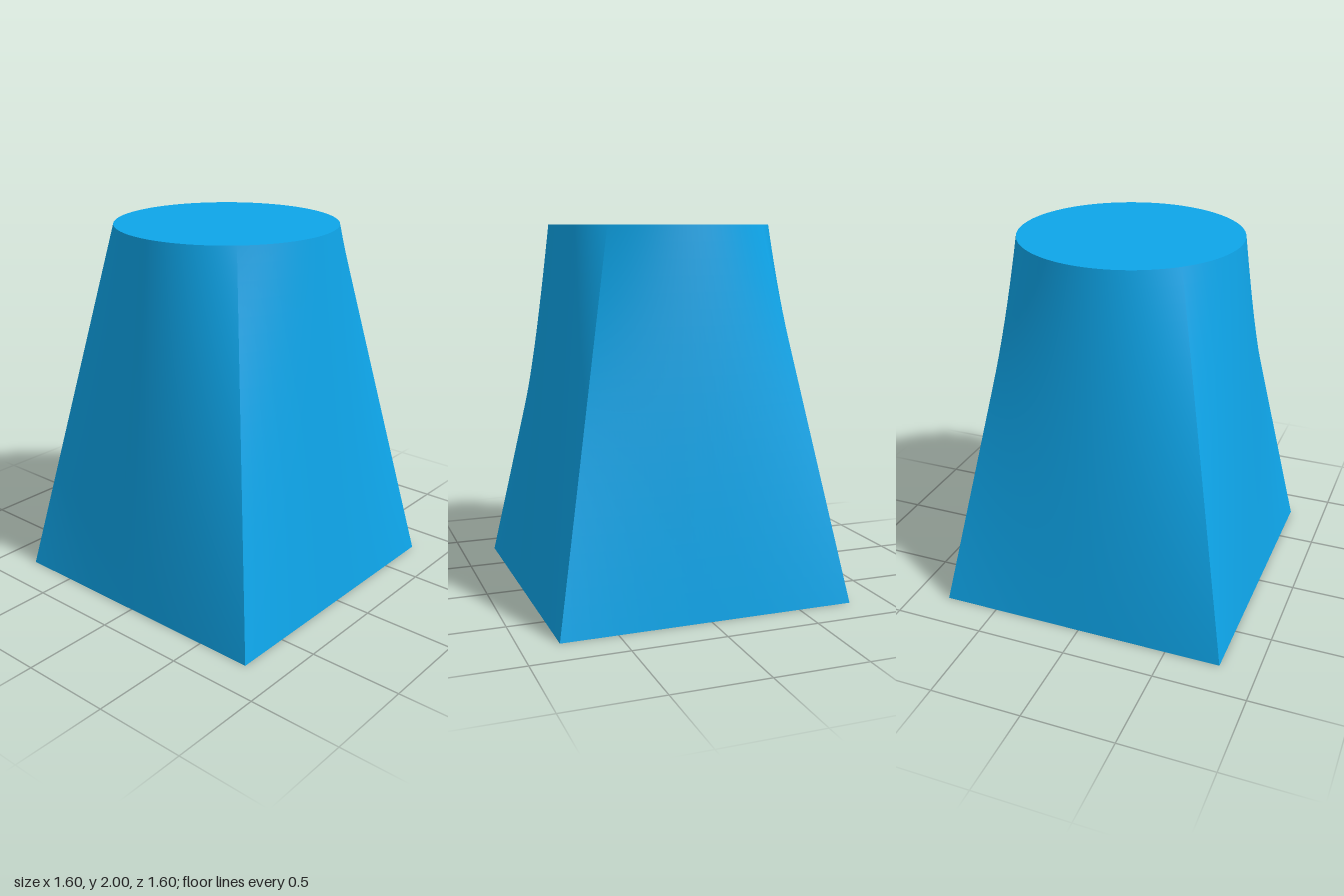
import * as THREE from 'three';
import { ParametricGeometry } from 'three/addons/geometries/ParametricGeometry.js';

const HALF_BASE = 0.8, TOP_RADIUS = 0.6, HEIGHT = 2, SIDE_STEPS = 48;

// One ruled wall: a straight base edge (v = 0) blending to a quarter arc (v = 1)
function wallPoint(u, v, target) {
  const angle = (u - 0.5) * Math.PI / 2;
  target.set(
    THREE.MathUtils.lerp((2 * u - 1) * HALF_BASE, TOP_RADIUS * Math.sin(angle), v),
    HEIGHT * v,
    THREE.MathUtils.lerp(HALF_BASE, TOP_RADIUS * Math.cos(angle), v)
  );
}

export function createModel() {
  const model = new THREE.Group();
  model.name = 'squareToRoundLoft';
  const material = new THREE.MeshStandardMaterial({ color: 0x0ea5e9 });

  const add = (name, geometry) => {
    const mesh = new THREE.Mesh(geometry, material);
    mesh.name = name;
    model.add(mesh);
    return mesh;
  };

  // Four walls, smooth within each and creased along the corners
  const wall = new ParametricGeometry(wallPoint, SIDE_STEPS, 24);
  ['frontWall', 'leftWall', 'backWall', 'rightWall'].forEach((name, i) => {
    add(name, wall).rotation.y = i * Math.PI / 2;
  });

  // Round top and square base
  add('topCap', new THREE.CircleGeometry(TOP_RADIUS, SIDE_STEPS * 4).rotateX(-Math.PI / 2)).position.y = HEIGHT;
  add('baseCap', new THREE.PlaneGeometry(2 * HALF_BASE, 2 * HALF_BASE).rotateX(Math.PI / 2));

  return model;
}
